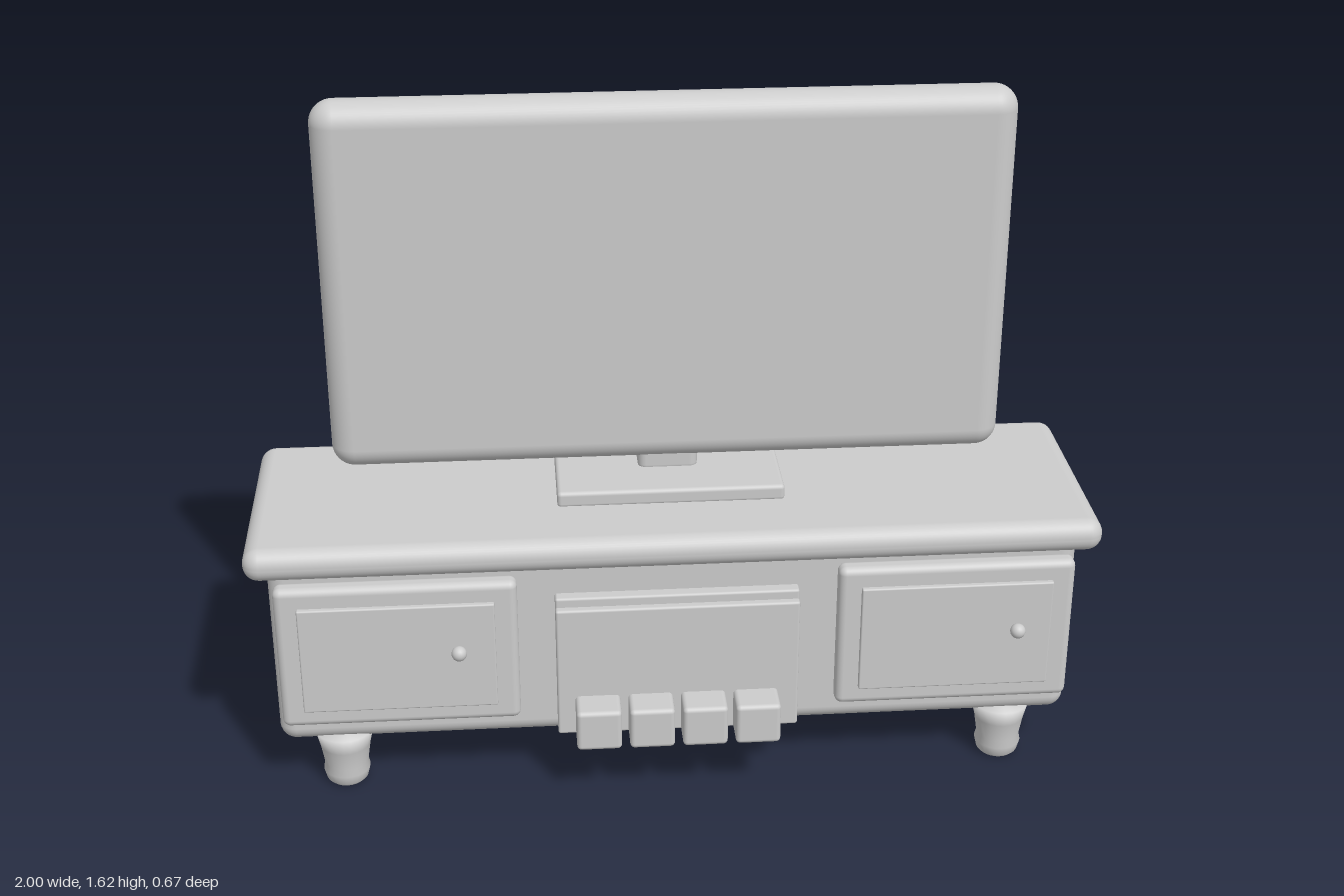
import * as THREE from 'three';
import { RoundedBoxGeometry } from 'three/addons/geometries/RoundedBoxGeometry.js';

export function createModel() {
  const model = new THREE.Group();
  model.name = 'televisionOnCabinet';
  const grey = new THREE.MeshStandardMaterial({ color: 0xcccccc });
  grey.name = 'plain grey';

  function add(parent, name, geometry, x = 0, y = 0, z = 0) {
    const mesh = new THREE.Mesh(geometry, grey);
    mesh.name = name;
    mesh.position.set(x, y, z);
    parent.add(mesh);
    return mesh;
  }

  // Rounded box given by its extents on each axis
  function box(parent, name, [x0, x1], [y0, y1], [z0, z1], radius, segments = 4) {
    const geometry = new RoundedBoxGeometry(x1 - x0, y1 - y0, z1 - z0, segments, radius);
    return add(parent, name, geometry, (x0 + x1) / 2, (y0 + y1) / 2, (z0 + z1) / 2);
  }

  // Cabinet
  const cabinet = new THREE.Group();
  cabinet.name = 'cabinet';
  model.add(cabinet);
  box(cabinet, 'cabinetBody', [-0.95, 0.947], [0.13, 0.62], [-0.308, 0.214], 0.04);
  box(cabinet, 'cabinetTop', [-1, 1], [0.58, 0.66], [-0.337, 0.244], 0.038);

  // Turned feet
  const footProfile = [
    [0, 0], [0.042, 0], [0.05, 0.008], [0.056, 0.032],
    [0.052, 0.05], [0.06, 0.1], [0.07, 0.143], [0, 0.145],
  ].map(([r, y]) => new THREE.Vector2(r, y));
  const footGeometry = new THREE.LatheGeometry(footProfile, 24);
  for (const x of [-0.8, 0.797]) {
    for (const z of [0.168, -0.258]) add(cabinet, 'foot', footGeometry, x, 0, z);
  }

  // Doors share one layout, with the knob on the same side of each
  for (const x of [-0.655, 0.655]) {
    const door = new THREE.Group();
    door.name = 'door';
    door.position.x = x;
    cabinet.add(door);
    box(door, 'doorFrame', [-0.28, 0.28], [0.2, 0.57], [0.205, 0.254], 0.018);
    box(door, 'doorPanel', [-0.227, 0.227], [0.248, 0.522], [0.24, 0.266], 0.004, 2);
    add(door, 'doorKnob', new THREE.SphereGeometry(0.018, 20, 14), 0.142, 0.408, 0.289);
  }

  // Centre panel with a set-back strip along its top
  box(cabinet, 'centreStrip', [-0.288, 0.284], [0.16, 0.515], [0.2, 0.242], 0.006, 2);
  box(cabinet, 'centrePanel', [-0.288, 0.284], [0.155, 0.492], [0.21, 0.26], 0.006, 2);
  for (let i = 0; i < 4; i++) {
    const x = -0.193 + i * 0.125;
    box(cabinet, 'smallBlock', [x - 0.053, x + 0.053], [0.155, 0.259], [0.233, 0.337], 0.011, 3);
  }

  // Television
  const television = new THREE.Group();
  television.name = 'television';
  model.add(television);
  box(television, 'standBase', [-0.273, 0.268], [0.655, 0.695], [-0.203, 0.058], 0.01, 3);
  box(television, 'standNeck', [-0.074, 0.07], [0.68, 0.803], [-0.155, -0.064], 0.02, 3);
  box(television, 'screen', [-0.803, 0.8], [0.72, 1.622], [-0.152, -0.04], 0.055, 6);

  return model;
}
